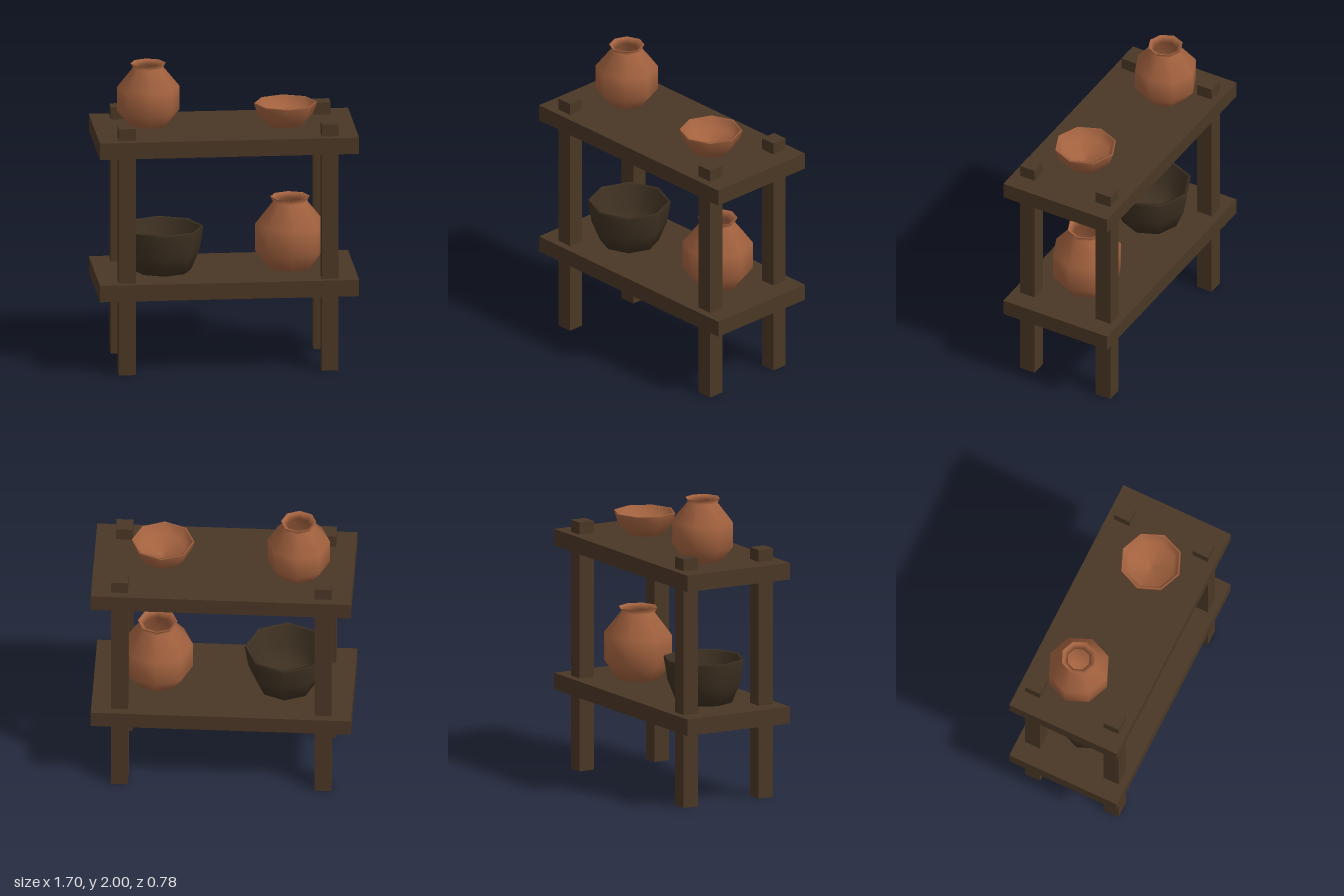
import * as THREE from 'three';

const wood = new THREE.MeshStandardMaterial({ color: 0x4a3725 });
wood.name = 'dark wood';
const clay = new THREE.MeshStandardMaterial({ color: 0xa3623f });
clay.name = 'terracotta';
const darkClay = new THREE.MeshStandardMaterial({ color: 0x3e3122 });
darkClay.name = 'dark clay';

function box(name, w, h, d, x, y, z) {
  const mesh = new THREE.Mesh(new THREE.BoxGeometry(w, h, d), wood);
  mesh.name = name;
  mesh.position.set(x, y, z);
  return mesh;
}

// Eight-sided vessel: outside profile runs up to the rim, inside profile runs down from it
function vessel(name, material, outside, inside, x, y, z) {
  const group = new THREE.Group();
  group.name = name;
  for (const [part, profile] of [['Outside', outside], ['Inside', inside]]) {
    const points = profile.map(([r, h]) => new THREE.Vector2(r, h));
    const mesh = new THREE.Mesh(new THREE.LatheGeometry(points, 8), material);
    mesh.name = name + part;
    group.add(mesh);
  }
  group.position.set(x, y, z);
  return group;
}

// Round-bellied jar with a narrow neck and flared lip
function jar(name, r, h, x, y, z) {
  const scale = (profile) => profile.map(([a, b]) => [a * r, b * h]);
  return vessel(name, clay,
    scale([[0, 0], [0.62, 0], [1, 0.235], [1, 0.62], [0.49, 0.93], [0.565, 1]]),
    scale([[0.565, 1], [0.48, 0.99], [0.37, 0.92], [0.85, 0.6], [0.85, 0.25], [0.5, 0.06], [0, 0.06]]),
    x, y, z);
}

export function createModel() {
  const model = new THREE.Group();
  model.name = 'potteryShelf';

  // Two planks, pierced by four posts
  model.add(box('lowerShelf', 1.7, 0.11, 0.78, 0, 0.565, 0));
  model.add(box('upperShelf', 1.7, 0.11, 0.78, 0, 1.525, 0));
  for (const x of [-0.665, 0.665]) {
    for (const z of [-0.285, 0.285]) {
      model.add(box('post', 0.11, 1.66, 0.11, x, 0.83, z));
    }
  }

  // Pottery
  model.add(jar('upperJar', 0.205, 0.415, -0.492, 1.585, -0.06));
  model.add(jar('lowerJar', 0.23, 0.475, 0.433, 0.62, 0));
  model.add(vessel('smallBowl', clay,
    [[0, 0], [0.115, 0], [0.182, 0.07], [0.207, 0.145], [0.203, 0.15]],
    [[0.203, 0.15], [0.188, 0.147], [0.16, 0.08], [0, 0.03]],
    0.4, 1.587, 0.03));
  model.add(vessel('largeBowl', darkClay,
    [[0, 0], [0.19, 0], [0.245, 0.13], [0.27, 0.28], [0.265, 0.293]],
    [[0.265, 0.293], [0.245, 0.285], [0.215, 0.13], [0.15, 0.04], [0, 0.03]],
    -0.405, 0.62, 0));

  return model;
}
